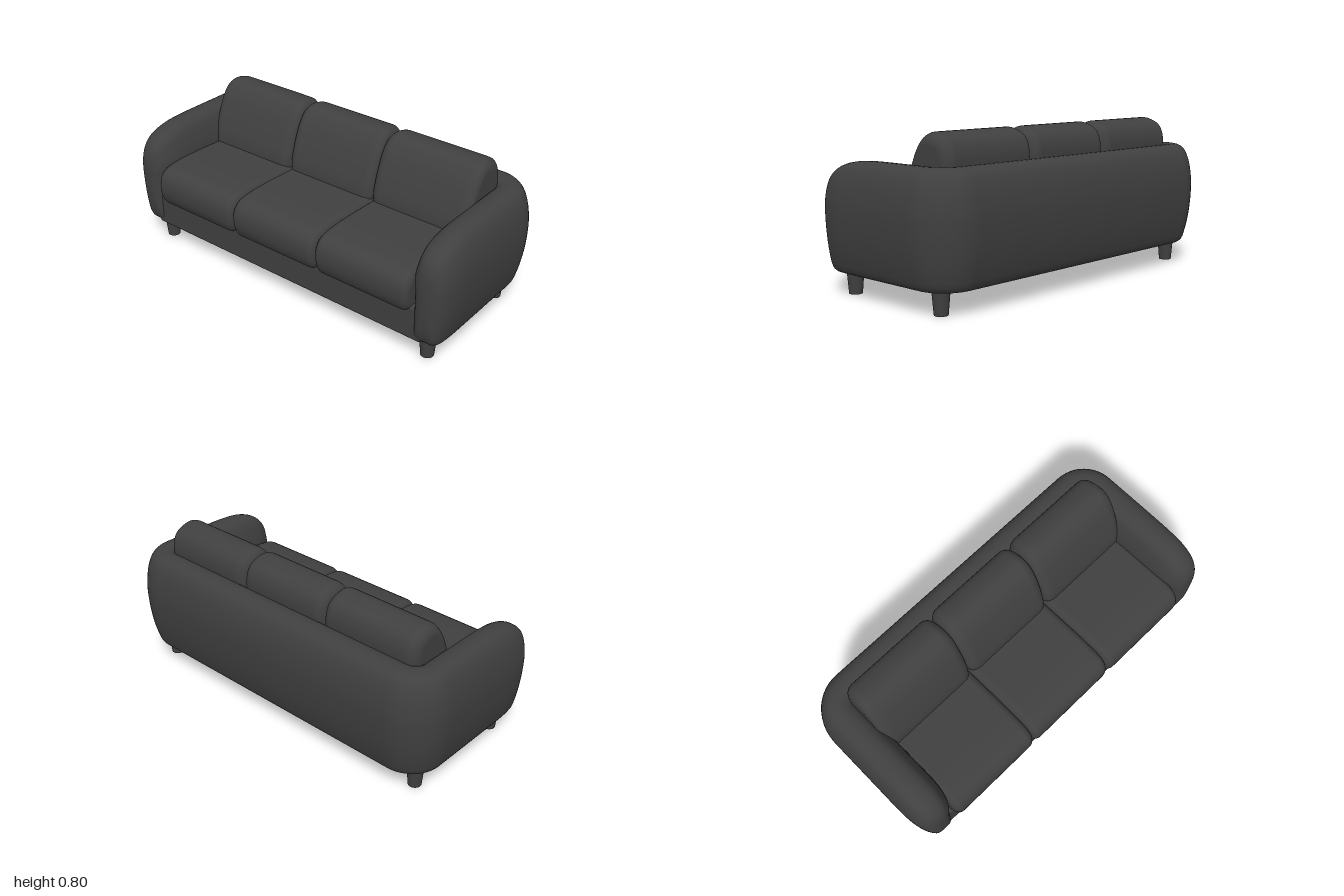
import * as THREE from 'three';
import { RoundedBoxGeometry } from 'three/addons/geometries/RoundedBoxGeometry.js';

// Smooth closed outline through a few [a, b] points
function outline(points, count) {
  const curve = new THREE.CatmullRomCurve3(
    points.map(([a, b]) => new THREE.Vector3(a, b, 0)), true, 'centripetal');
  return curve.getSpacedPoints(count).slice(0, count);
}

// Skin over closed rings of [x, y, z], capped at both ends, always facing outward
function loft(rings) {
  const n = rings[0].length;
  const pos = rings.flat(2);
  const index = [];
  for (let i = 0; i < rings.length - 1; i++) {
    for (let j = 0; j < n; j++) {
      const a = i * n + j, b = i * n + (j + 1) % n;
      index.push(a, b, a + n, b, b + n, a + n);
    }
  }
  [0, rings.length - 1].forEach((r, end) => {
    const centre = [0, 1, 2].map(k => rings[r].reduce((s, p) => s + p[k], 0) / n);
    const c = pos.length / 3;
    pos.push(...centre);
    for (let j = 0; j < n; j++) {
      const a = r * n + j, b = r * n + (j + 1) % n;
      if (end) index.push(a, b, c);
      else index.push(b, a, c);
    }
  });
  // Signed volume decides the winding
  const at = i => new THREE.Vector3().fromArray(pos, i * 3);
  let volume = 0;
  for (let i = 0; i < index.length; i += 3) {
    volume += at(index[i]).dot(at(index[i + 1]).cross(at(index[i + 2])));
  }
  if (volume < 0) index.reverse();
  const geo = new THREE.BufferGeometry();
  geo.setAttribute('position', new THREE.Float32BufferAttribute(pos, 3));
  geo.setIndex(index);
  geo.computeVertexNormals();
  return geo;
}

// Cushion: a (z, y) side profile carried from x0 to x1 with rounded ends
function cushionGeometry(profile, x0, x1, r) {
  const pts = outline(profile, 64);
  const box = new THREE.Box3().setFromPoints(pts);
  const mid = box.getCenter(new THREE.Vector3());
  const half = box.getSize(new THREE.Vector3()).multiplyScalar(0.5);
  const near = [], far = []; // x and inset of each ring
  for (let i = 0; i <= 8; i++) {
    const a = i / 8 * Math.PI / 2;
    const out = r * (1 - Math.cos(a)), inset = r * (1 - Math.sin(a));
    near.push([x0 + out, inset]);
    far.unshift([x1 - out, inset]);
  }
  return loft([...near, ...far].map(([x, inset]) => pts.map(p => [
    x,
    mid.y + (p.y - mid.y) * (1 - inset / half.y),
    mid.x + (p.x - mid.x) * (1 - inset / half.x),
  ])));
}

// Arms and back: one padded section swept round a U, tapering at the arm fronts
function shellGeometry() {
  const section = outline([
    [-0.085, 0.112], [0, 0.11], [0.035, 0.11], [0.06, 0.125], [0.08, 0.18], [0.1, 0.28],
    [0.11, 0.4], [0.108, 0.48], [0.092, 0.57], [0.065, 0.63], [0.03, 0.654], [-0.03, 0.654],
    [-0.065, 0.63], [-0.09, 0.57], [-0.108, 0.48], [-0.1, 0.4], [-0.095, 0.2],
  ], 72);
  const CX = 0.89, CZ = -0.345, END = 0.437, R = 0.11, MID = 0.4;
  const round = (z, start, power) => {
    const t = Math.max(0, (z - start) / (END - start));
    return Math.pow(1 - Math.pow(t, power), 1 / power);
  };
  const half = []; // x, z, outward normal x and z, width, top and bottom scale
  for (let i = 22; i >= 0; i--) {
    const z = END * Math.sin(i / 22 * 88 * Math.PI / 180);
    half.push([CX, z, 1, 0, round(z, 0.2, 2.8), round(z, 0, 3.5), round(z, 0.34, 3.5)]);
  }
  half.push([CX, -0.12, 1, 0, 1, 1, 1]);
  for (let i = 0; i <= 12; i++) {
    const a = i / 12 * Math.PI / 2, c = Math.cos(a), s = Math.sin(a);
    half.push([CX - R + R * c, CZ + R - R * s, c, -s, 1, 1, 1]);
  }
  half.push([0.4, CZ, 0, -1, 1, 1, 1]);
  const mirrored = half.map(([x, z, nx, ...rest]) => [-x, z, -nx, ...rest]).reverse();
  return loft([...half, ...mirrored].map(([x, z, nx, nz, w, top, bottom]) =>
    section.map(p => [
      x + nx * p.x * w,
      MID + (p.y - MID) * (p.y > MID ? top : bottom),
      z + nz * p.x * w,
    ])));
}

export function createModel() {
  const sofa = new THREE.Group();
  sofa.name = 'sofa';
  const charcoal = new THREE.MeshStandardMaterial({ color: 0x404040 });
  charcoal.name = 'charcoal';
  const add = (name, geo, x = 0, y = 0, z = 0) => {
    const mesh = new THREE.Mesh(geo, charcoal);
    mesh.name = name;
    mesh.position.set(x, y, z);
    sofa.add(mesh);
  };

  add('armsAndBack', shellGeometry());
  add('base', new RoundedBoxGeometry(1.74, 0.189, 0.775, 4, 0.02), 0, 0.2055, 0.0225);

  // Three seat cushions and three leaning back cushions
  const seat = [
    [-0.25, 0.27], [0.3, 0.265], [0.42, 0.27], [0.447, 0.31], [0.456, 0.365],
    [0.445, 0.43], [0.405, 0.468], [0.3, 0.484], [0, 0.478], [-0.25, 0.46],
  ];
  const back = [
    [0, 0.44], [0.008, 0.5], [-0.012, 0.58], [-0.042, 0.66], [-0.08, 0.735], [-0.125, 0.785],
    [-0.17, 0.801], [-0.225, 0.792], [-0.275, 0.765], [-0.299, 0.715], [-0.304, 0.65],
    [-0.28, 0.5], [-0.24, 0.42],
  ];
  const seatEdges = [-0.805, -0.27, 0.265, 0.805];
  const backEdges = [-0.825, -0.272, 0.265, 0.825];
  ['right', 'middle', 'left'].forEach((side, i) => {
    add(side + 'SeatCushion', cushionGeometry(seat, seatEdges[i], seatEdges[i + 1], 0.04));
    add(side + 'BackCushion', cushionGeometry(back, backEdges[i], backEdges[i + 1], 0.055));
  });

  // Tapered legs
  const leg = new THREE.CylinderGeometry(0.044, 0.033, 0.13, 24);
  for (const [side, x] of [['left', 0.855], ['right', -0.855]]) {
    add(side + 'FrontLeg', leg, x, 0.065, 0.325);
    add(side + 'BackLeg', leg, x, 0.065, -0.285);
  }
  return sofa;
}
